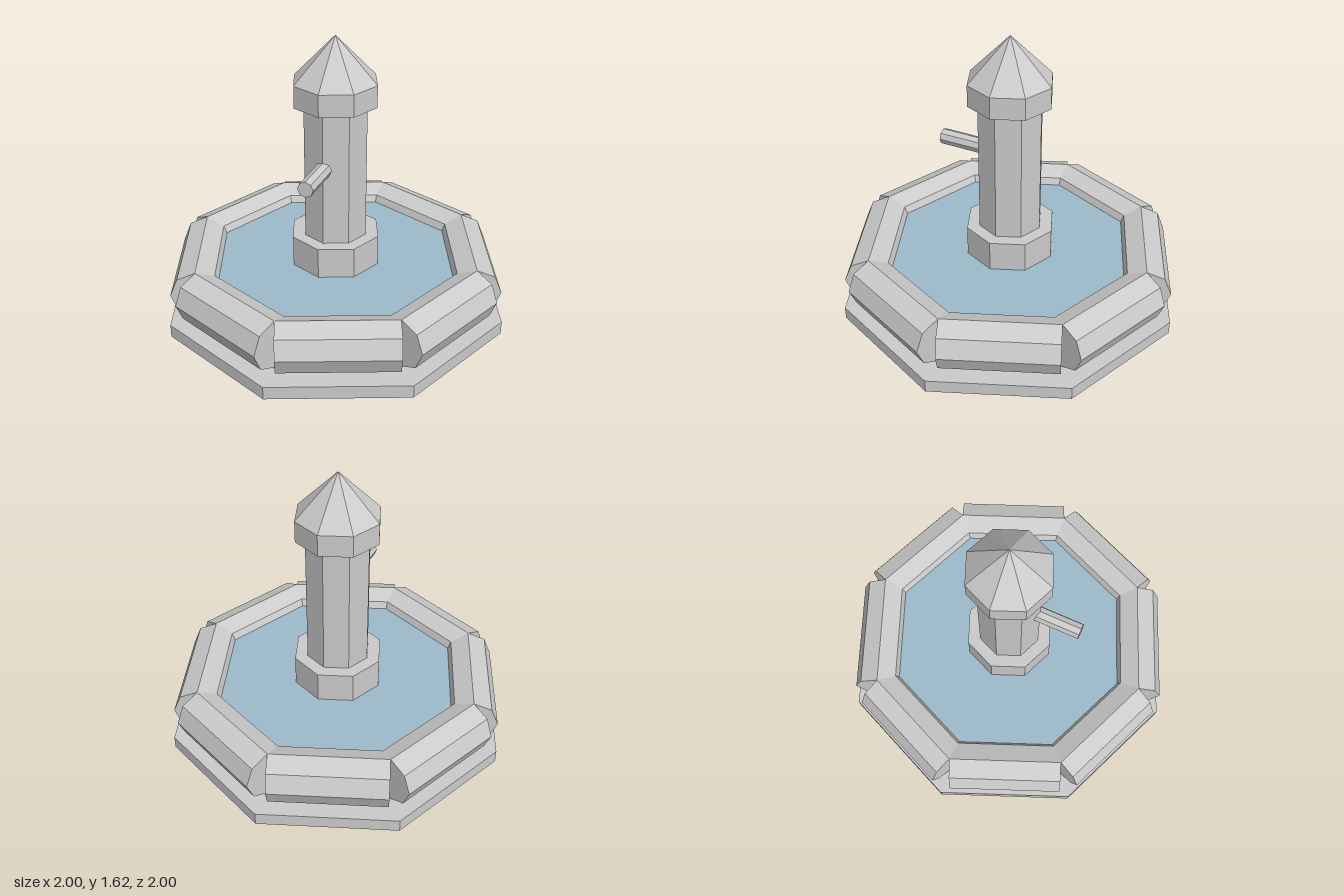
import * as THREE from 'three';

const SIDES = 8;

export function createModel() {
  const fountain = new THREE.Group();
  fountain.name = 'fountain';
  const stone = new THREE.MeshStandardMaterial({ color: 0xcccccc, flatShading: true });
  const waterMaterial = new THREE.MeshStandardMaterial({ color: 0x9dbaca, flatShading: true });

  // Upright octagonal prism between two heights
  const prism = (name, radius, bottom, top, material = stone, topRadius = radius) => {
    const geometry = new THREE.CylinderGeometry(topRadius, radius, top - bottom, SIDES);
    const mesh = new THREE.Mesh(geometry, material);
    mesh.name = name;
    mesh.position.y = (bottom + top) / 2;
    fountain.add(mesh);
    return mesh;
  };

  prism('basePlate', 1, 0, 0.075);
  prism('water', 0.74, 0.27, 0.29, waterMaterial);
  prism('pedestal', 0.26, 0.075, 0.47);
  prism('column', 0.185, 0.47, 1.25);
  prism('capital', 0.24, 1.25, 1.375);
  prism('roof', 0.24, 1.375, 1.625, stone, 0);

  // Basin rim: one straight octagonal bar per side, square-cut so the outer corners stay open
  const rim = new THREE.Group();
  rim.name = 'basinRim';
  const cornerRadius = 0.84;
  const half = Math.PI / SIDES;
  const barGeometry = new THREE.CylinderGeometry(0.145, 0.145, 2 * cornerRadius * Math.sin(half), SIDES);
  barGeometry.rotateZ(Math.PI / 2).translate(0, 0.23, cornerRadius * Math.cos(half));
  for (let i = 0; i < SIDES; i++) {
    const bar = new THREE.Mesh(barGeometry, stone);
    bar.name = 'rimBar' + (i + 1);
    bar.rotation.y = (2 * i + 1) * half;
    rim.add(bar);
  }
  fountain.add(rim);

  // Spout on the front of the column
  const spout = new THREE.Mesh(new THREE.CylinderGeometry(0.045, 0.045, 0.285, SIDES), stone);
  spout.name = 'spout';
  spout.rotation.x = Math.PI / 2;
  spout.position.set(0, 0.92, 0.2825);
  fountain.add(spout);

  return fountain;
}
